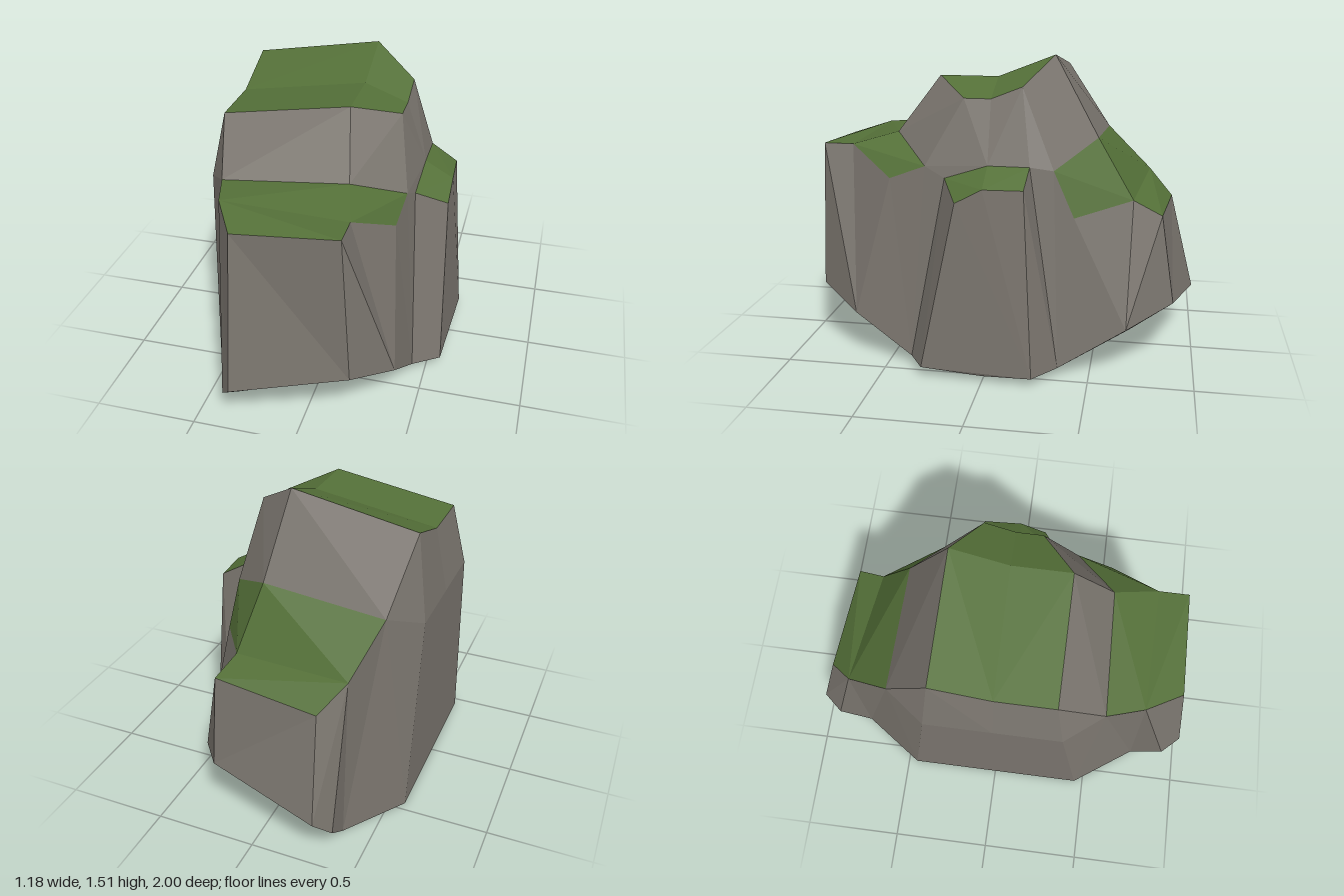
import * as THREE from 'three';
import { ConvexGeometry } from 'three/addons/geometries/ConvexGeometry.js';

const rock = new THREE.MeshStandardMaterial({ color: 0x7a756e });
rock.name = 'grey rock';
const moss = new THREE.MeshStandardMaterial({ color: 0x547038 });
moss.name = 'moss green';

// Faceted boulder: triangles lying wholly between cap points are mossy
function boulder(name, cap, body) {
  const toVec = (p) => new THREE.Vector3(...p);
  const capPoints = cap.map(toVec);
  const geometry = new ConvexGeometry([...capPoints, ...body.map(toVec)]);
  const pos = geometry.attributes.position;
  const v = new THREE.Vector3();
  const onCap = (i) => {
    v.fromBufferAttribute(pos, i);
    return capPoints.some((c) => c.distanceTo(v) < 1e-4);
  };
  for (let i = 0; i < pos.count; i += 3) {
    geometry.addGroup(i, 3, onCap(i) && onCap(i + 1) && onCap(i + 2) ? 1 : 0);
  }
  const mesh = new THREE.Mesh(geometry, [rock, moss]);
  mesh.name = name;
  return mesh;
}

// Facets of a step, by corner name: S shoulder, A-E ledge, F foot, G and K base
const ledgeFacets = ['S0 A S1', 'A D S1', 'A B C D', 'S1 D S2', 'D E S2'];
const sideFacets = [
  'S0 K0 G0 A', 'A G0 F0 F1 B', // left flank with its crease
  'B F1 F2 C', // outer face
  'C F2 F3 D', 'D F3 E', 'E F3 K1 S2', // right flank
  'F1 F0 G0 G1 F2', 'F2 G1 K1 F3', // undercut
  'K0 K1 G1 G0', // arched base
];

// Ledge stepping out from the core; side is 1 for front, -1 for back
function step(name, points, side) {
  const positions = [];
  const addFacets = (facets) => facets.forEach((facet) => {
    const corners = facet.split(' ').map((key) => points[key]);
    if (side < 0) corners.reverse();
    // Keep the same diagonals on the mirrored side
    if (side < 0) corners.unshift(corners.pop());
    for (let i = 1; i < corners.length - 1; i++) {
      positions.push(...corners[0], ...corners[i], ...corners[i + 1]);
    }
  });
  const geometry = new THREE.BufferGeometry();
  addFacets(ledgeFacets);
  const split = positions.length / 3;
  addFacets(sideFacets);
  geometry.setAttribute('position', new THREE.Float32BufferAttribute(positions, 3));
  geometry.addGroup(0, split, 1);
  geometry.addGroup(split, positions.length / 3 - split, 0);
  geometry.computeVertexNormals();
  const mesh = new THREE.Mesh(geometry, [rock, moss]);
  mesh.name = name;
  return mesh;
}

// Corners common to both steps: shoulder line, foot and base
const frame = (s) => ({
  S0: [-0.465, 1.07, 0.52 * s], S1: [0.14, 1.12, 0.5 * s], S2: [0.37, 1.0, 0.31 * s],
  F0: [-0.375, 0.14, 0.92 * s], F1: [-0.31, 0.23, s],
  F2: [0.24, 0.33, 0.89 * s], F3: [0.405, 0.24, 0.67 * s],
  G0: [-0.365, 0.01, 0.76 * s], G1: [0.11, 0.12, 0.68 * s],
  K0: [-0.575, 0, 0.455 * s], K1: s > 0 ? [0.44, 0.045, 0.38] : [0.46, 0.045, -0.35],
});

export function createModel() {
  const group = new THREE.Group();
  group.name = 'mossyRock';
  const front = frame(1);
  const back = frame(-1);

  // Core, in two halves meeting at a crease across the top
  const creaseTop = [[-0.525, 1.3, 0], [0.09, 1.4, 0], [0.3, 1.32, 0]];
  const creaseBody = [[-0.59, 0.98, 0], [0.4, 1.02, 0], [-0.575, 0, 0], [0.46, 0.04, 0]];
  group.add(boulder('coreFront',
    [...creaseTop, [-0.525, 1.3, 0.29], [0.09, 1.4, 0.29], [0.3, 1.32, 0.13]],
    [...creaseBody, [-0.59, 0.98, 0.335], [0.39, 0.95, 0.21],
      front.S0, front.S1, front.S2, front.K0, front.K1]));
  group.add(boulder('coreBack',
    [...creaseTop, [-0.53, 1.4, -0.29], [0.09, 1.51, -0.28], [0.3, 1.38, -0.15]],
    [...creaseBody, [-0.59, 0.98, -0.335], [0.4, 1.02, -0.2],
      back.S0, back.S1, back.S2, back.K0, back.K1]));

  // Front step, and the lower back step
  group.add(step('frontStep', {
    ...front, A: [-0.41, 1.07, 0.7], B: [-0.3, 1.02, 0.88], C: [0.2, 1.06, 0.87],
    D: [0.2, 1.06, 0.72], E: [0.355, 0.93, 0.49],
  }, 1));
  group.add(step('backStep', {
    ...back, A: [-0.38, 0.86, -0.75], B: [-0.28, 0.74, -0.87], C: [0.24, 0.77, -0.82],
    D: [0.2, 0.83, -0.68], E: [0.385, 0.78, -0.41],
  }, -1));

  // Narrow buttress on the +x side
  group.add(boulder('sideButtress',
    [[0.4, 1.02, -0.2], [0.4, 1.02, 0], [0.39, 0.95, 0.21],
      [0.54, 0.87, 0.13], [0.54, 0.94, 0], [0.53, 0.94, -0.19]],
    [front.K1, back.K1, [0.57, 0.05, 0.3], [0.575, 0.03, 0], [0.59, 0.04, -0.24],
      [0.3, 0.9, 0], [0.3, 0.04, 0.25], [0.3, 0.04, -0.25]]));

  return group;
}
